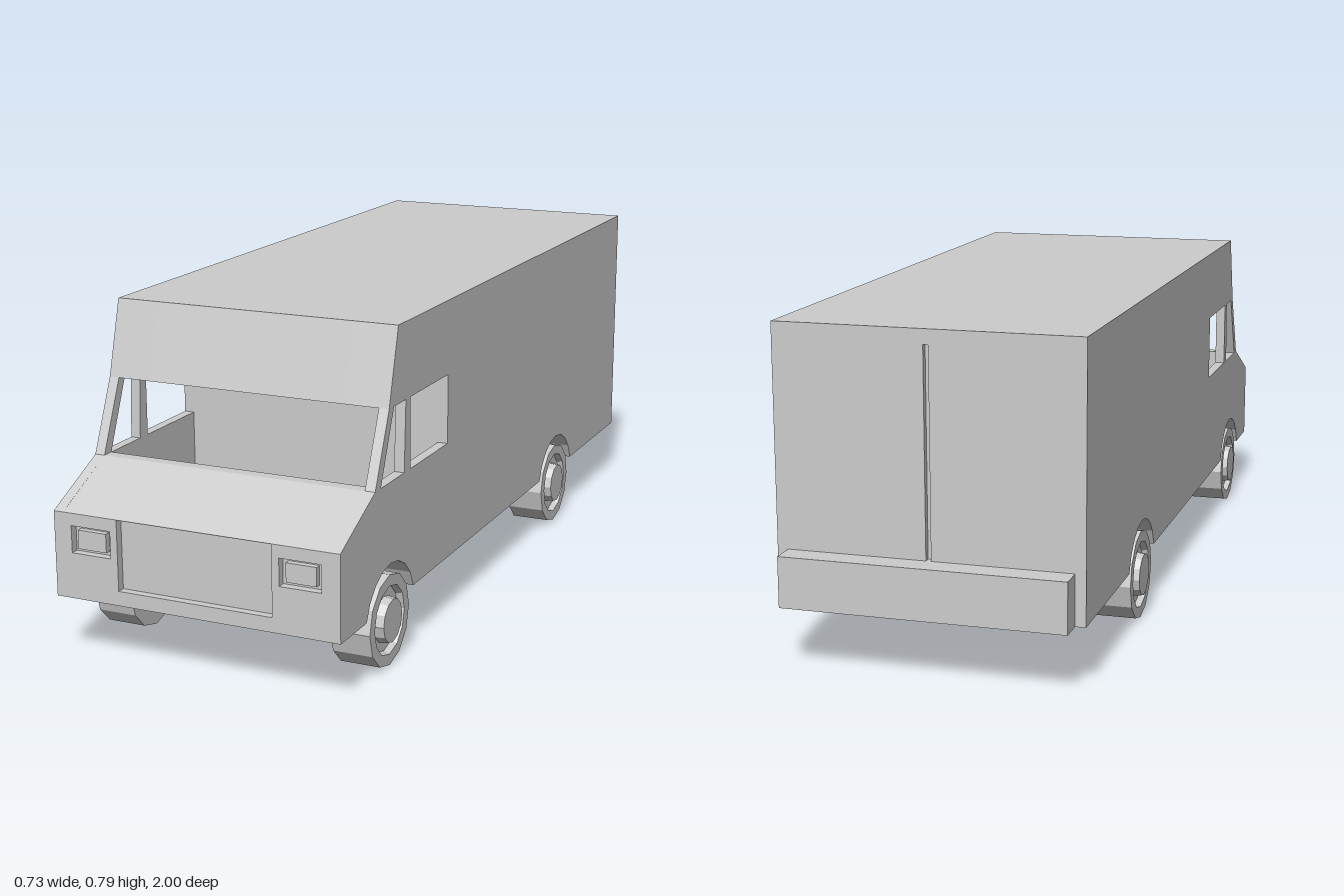
import * as THREE from 'three';

const material = new THREE.MeshStandardMaterial({ color: 0xcccccc, flatShading: true });
const AXLES = [-0.41, 0.735];
const WHEEL_R = 0.11;
const BASE = 0.15;      // underside height
const INNER = 0.335;    // half width inside the side panels
const OUTER = 0.36;     // half width of the body

const toPath = (pts, Type = THREE.Shape) => new Type(pts.map(([a, b]) => new THREE.Vector2(a, b)));
const rect = (x0, y0, x1, y1) => [[x0, y0], [x1, y0], [x1, y1], [x0, y1]];

function extrude(pts, holes, depth) {
  const shape = toPath(pts);
  shape.holes = holes.map((h) => toPath(h, THREE.Path));
  return new THREE.ExtrudeGeometry(shape, { depth, bevelEnabled: false });
}

// Side profile in (z, y), extruded from x0 to x1
const across = (pts, holes, x0, x1) =>
  extrude(pts, holes, x1 - x0).rotateY(-Math.PI / 2).translate(x1, 0, 0);

// Underside from back to front, with a wheel arch over each axle
function underside(radius) {
  const pts = [];
  const start = Math.asin((BASE - WHEEL_R) / radius);
  for (const z of AXLES) {
    for (let i = 0; i <= 8; i++) {
      const a = Math.PI - start - (i / 8) * (Math.PI - 2 * start);
      pts.push([z + radius * Math.cos(a), WHEEL_R + radius * Math.sin(a)]);
    }
  }
  return pts;
}

export function createModel() {
  const group = new THREE.Group();
  const add = (name, geometry, parent = group) => {
    const mesh = new THREE.Mesh(geometry, material);
    mesh.name = name;
    parent.add(mesh);
    return mesh;
  };
  const box = (name, x0, y0, z0, x1, y1, z1) =>
    add(name, new THREE.BoxGeometry(x1 - x0, y1 - y0, z1 - z0)
      .translate((x0 + x1) / 2, (y0 + y1) / 2, (z0 + z1) / 2));

  // Body core, hollowed for the open cab; taller wells over the wheels
  const core = (radius) => [
    [-0.925, BASE], ...underside(radius), [0.98, BASE], [0.98, 0.364], [0.82, 0.44],
    [0.79, 0.44], [0.79, 0.255], [0.4, 0.255], [0.4, 0.61], [0.745, 0.61],
    [0.695, 0.79], [-0.925, 0.79],
  ];
  add('bodyCentre', across(core(0.1), [], -0.25, 0.25));
  add('bodyRight', across(core(0.137), [], -INNER, -0.25));
  add('bodyLeft', across(core(0.137), [], 0.25, INNER));

  // Side panels with quarter and door windows
  const panel = [
    [-0.94, BASE], ...underside(0.137), [1, BASE], [1, 0.355], [0.82, 0.44],
    [0.745, 0.61], [0.695, 0.79], [-0.94, 0.79],
  ];
  const windows = [
    [[0.66, 0.44], [0.79, 0.44], [0.718, 0.61], [0.652, 0.61]],
    rect(0.4, 0.44, 0.625, 0.61),
  ];
  add('rightSidePanel', across(panel, windows, -OUTER, -INNER));
  add('leftSidePanel', across(panel, windows, INNER, OUTER));

  // Front plate with recessed grille and headlight openings
  const front = extrude(rect(-INNER, BASE, INNER, 0.355), [
    rect(-0.195, 0.185, 0.195, 0.3545),
    rect(-0.315, 0.26, -0.213, 0.325),
    rect(0.213, 0.26, 0.315, 0.325),
  ], 0.02);
  add('frontPlate', front.translate(0, 0, 0.98));
  add('hoodLip', across([[0.98, 0.354], [1, 0.354], [1, 0.355], [0.98, 0.364]], [], -INNER, INNER));
  for (const s of [-1, 1]) {
    box(s > 0 ? 'leftHeadlight' : 'rightHeadlight',
      s * 0.264 - 0.037, 0.27, 0.97, s * 0.264 + 0.037, 0.315, 0.995);
  }

  // Rear doors with a centre gap, and the bumper
  const rear = extrude(rect(-INNER, BASE, INNER, 0.79), [rect(-0.006, 0.27, 0.006, 0.755)], 0.015);
  add('rearDoors', rear.translate(0, 0, -0.94));
  box('rearBumper', -INNER, BASE, -1, INNER, 0.27, -0.94);

  // Wheels: tyre, recessed rim and raised hub in one turned profile
  const profile = [
    [0, 0.26], [WHEEL_R, 0.26], [WHEEL_R, 0.358], [0.083, 0.358],
    [0.078, 0.343], [0.055, 0.343], [0.052, 0.366], [0, 0.366],
  ].map(([r, x]) => new THREE.Vector2(r, x));
  for (const z of AXLES) {
    for (const s of [-1, 1]) {
      const wheel = add((z > 0 ? 'front' : 'rear') + (s > 0 ? 'Left' : 'Right') + 'Wheel',
        new THREE.LatheGeometry(profile, 12).rotateZ(-Math.PI / 2));
      wheel.position.set(0, WHEEL_R, z);
      wheel.rotation.y = s > 0 ? 0 : Math.PI;
    }
  }
  return group;
}
